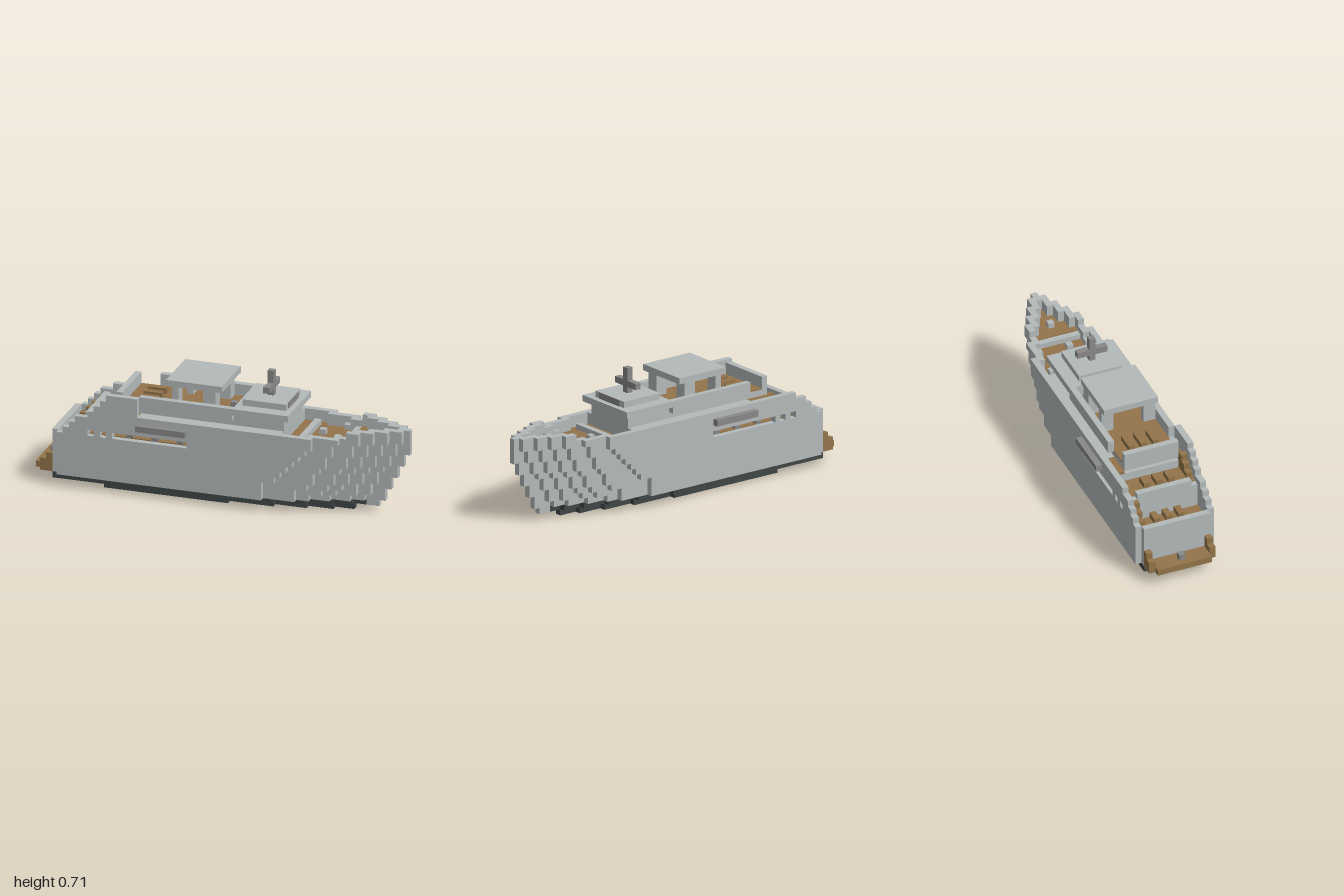
import * as THREE from 'three';
import { mergeGeometries } from 'three/addons/utils/BufferGeometryUtils.js';

const U = 2 / 59; // one block
const mat = (name, color) => new THREE.MeshStandardMaterial({ name, color });

export function createModel() {
  const root = new THREE.Group();
  root.name = 'yacht';
  const light = mat('light grey', 0xb4b9b9);
  const mid = mat('mid grey', 0x8a8888);
  const wood = mat('deck brown', 0x93744a);
  const dark = mat('dark hull', 0x3f4545);

  // Box in block units: x from a to b, y from c to d, z columns e to f inclusive (0 = centre line)
  const B = (a, b, c, d, e, f = e) => {
    const g = new THREE.BoxGeometry((b - a) * U, (d - c) * U, (f - e + 1) * U);
    return g.translate(-1 + ((a + b) / 2) * U, ((c + d) / 2) * U, ((e + f) / 2) * U);
  };
  const both = (a, b, c, d, e, f = e) => [B(a, b, c, d, e, f), B(a, b, c, d, -f, -e)];
  const T = 0.15; // thickness of deck planking
  const part = (name, material, geos) => {
    const m = new THREE.Mesh(mergeGeometries(geos), material);
    m.name = name;
    root.add(m);
  };

  // Bow end of each column (centre line outwards), for levels 2 to 12
  const ends = [
    [55, 55, 56, 56, 57, 57, 58, 58, 59, 59, 59],
    [52, 53, 53, 54, 54, 55, 56, 56, 57, 57, 58],
    [50, 51, 51, 52, 52, 53, 54, 54, 55, 55, 56],
    [47, 48, 49, 50, 50, 51, 52, 52, 53, 53, 54],
    [44, 46, 47, 48, 48, 49, 50, 50, 51, 51, 52],
    [42, 42, 44, 45, 45, 46, 47, 47, 48, 48, 49],
    [37, 37, 37, 39, 40, 41, 42, 43, 44, 45, 45],
  ];
  const end = (k, y) => ends[k][Math.min(y, 12) - 2];

  // Underwater hull, two tapering layers
  const keel = [];
  [[50, 47, 43, 38, 31], [52, 50, 47, 43, 38, 32]].forEach((row, y) =>
    row.forEach((e, k) => keel.push(...both(y ? 3 : 11, e, y, y + 1, k))));
  part('lowerHull', dark, keel);

  // Stepped hull, filled up to the main deck
  const hull = [B(52, 54, 1, 2, 0)];
  for (let y = 2; y <= 10; y++) {
    for (let k = 0; k < 6; k++) {
      const start = y < 7 ? 3 : y === 9 ? 25 : 8;
      hull.push(...both(start, end(k, y), y, y + 1, k));
    }
    const s = y < 9 ? 4 : y - 4;
    if (y === 9) hull.push(...both(s, 9, 9, 10, 6), ...both(25, end(6, 9), 9, 10, 6));
    else hull.push(...both(s, end(6, y), y, y + 1, 6));
  }
  // Bulwarks above the deck
  for (let y = 11; y <= 13; y++) {
    for (let k = 0; k < 6; k++) {
      const s = Math.max(end(k + 1, y) - 1, y === 13 ? 50 : 0);
      if (s < end(k, y)) hull.push(...both(s, end(k, y), y, y + 1, k));
    }
  }
  hull.push(...both(7, 45, 11, 12, 6), ...both(9, 45, 12, 13, 6));
  part('hull', light, hull);

  // Stepped screen beside the aft deck, on one side only
  part('aftScreen', light, [10, 11, 12].map((s, n) => B(s, 17, 13 + n, 14 + n, 6)));

  // Posts in the long window slots
  part('windowPosts', light, [10, 12].flatMap(i => both(i, i + 1, 9, 10, 6)));
  part('innerPosts', mid, [15, 19, 23].flatMap(i => both(i, i + 1, 9, 10, 5)));
  part('sideFins', mid, both(17, 25, 11, 12, 7));

  // Stern bulkhead and terrace rails
  part('sternBulkheads', light, [
    B(3, 4, 7, 9, -5, 5), B(8, 9, 11, 12, -4, 4), B(8, 9, 9, 10, -5, 5),
    B(13, 14, 13, 16, -4, 4),
  ]);

  // Swimming platform with side steps
  part('sternPlatform', wood, [
    B(0, 3, 2, 3, -4, 4), ...both(1, 3, 2, 4, 5), ...both(2, 3, 4, 5, 5),
  ]);
  part('platformPost', mid, [B(1, 2, 3, 4, 0)]);

  // Cabin block and upper deck
  part('cabin', light, [
    B(13, 40, 11, 12.5, -5, 5), B(14, 40, 12.5, 14, -4, 4),
    ...both(17, 40, 12.5, 13, 5), B(32, 40, 14, 15, -4, 4),
  ]);
  part('upperRails', light, [
    ...both(17, 32, 14, 16, 5), ...both(32, 41, 15, 16, 5),
  ]);

  // Planked decks
  const decks = [
    B(4, 8, 7, 7 + T, -5, 5), B(9, 13, 11, 11 + T, -5, 5),
    B(9, 25, 9, 9 + T, -5, 5), B(14, 32, 14, 14 + T, -4, 4),
    ...both(13, 17, 12.5, 13, 5),
  ];
  for (let k = 0; k < 6; k++) {
    const e = end(k + 1, 12) - 1;
    decks.push(...both(40, Math.min(e, 49), 11, 11 + T, k));
    if (e > 50) decks.push(...both(50, e, 12, 12 + T, k));
  }
  part('decks', wood, decks);

  // Raised foredeck
  const fore = [];
  for (let k = 0; k < 5; k++) {
    const e = end(k + 1, 12);
    if (e > 49) fore.push(...both(49, e, 11, 12, k));
  }
  part('foredeckStep', light, fore);
  part('foredeckFittings', light, [
    B(42, 43, 11, 12, -4, 4), B(44, 45, 11, 12, -1), B(47, 48, 11, 12, 1),
    B(52, 53, 12, 13, 0),
  ]);

  // Tables in rows of three on each terrace
  const tables = [];
  for (const k of [-2, 0, 2])
    for (const [a, b, y] of [[6, 8, 7], [10, 12, 11], [16, 19, 14]]) tables.push(B(a, b, y, y + 1, k));
  part('benches', wood, tables);

  // Stairs between terraces
  const stairs = [];
  for (let n = 0; n < 3; n++) stairs.push(B(10 + n, 11 + n, 11, 12 + n, 5));
  for (let n = 0; n < 4; n++) stairs.push(B(4 + n, 5 + n, 7, 8 + n, -5));
  part('stairs', wood, stairs);

  // Sun roof on posts
  part('sunRoof', light, [B(21, 30, 18, 19, -4, 4)]);
  part('roofPosts', light, [...both(22, 23, 14, 18, 3, 4), ...both(27, 29, 14, 18, 3, 4)]);
  part('deckPost', mid, [B(30, 31, 14, 15, 0)]);

  // Bridge roof, its window and the mast
  part('bridgeRoof', light, [B(32, 41, 15, 16, -4, 4), B(33, 40, 16, 17, -3, 3)]);
  part('bridgeWindow', mid, [B(40, 40.1, 16, 17, -2, 2)]);
  part('mast', mid, [B(36, 37, 17, 21, 0), ...both(36, 37, 18, 19, 1, 2)]);
  return root;
}
